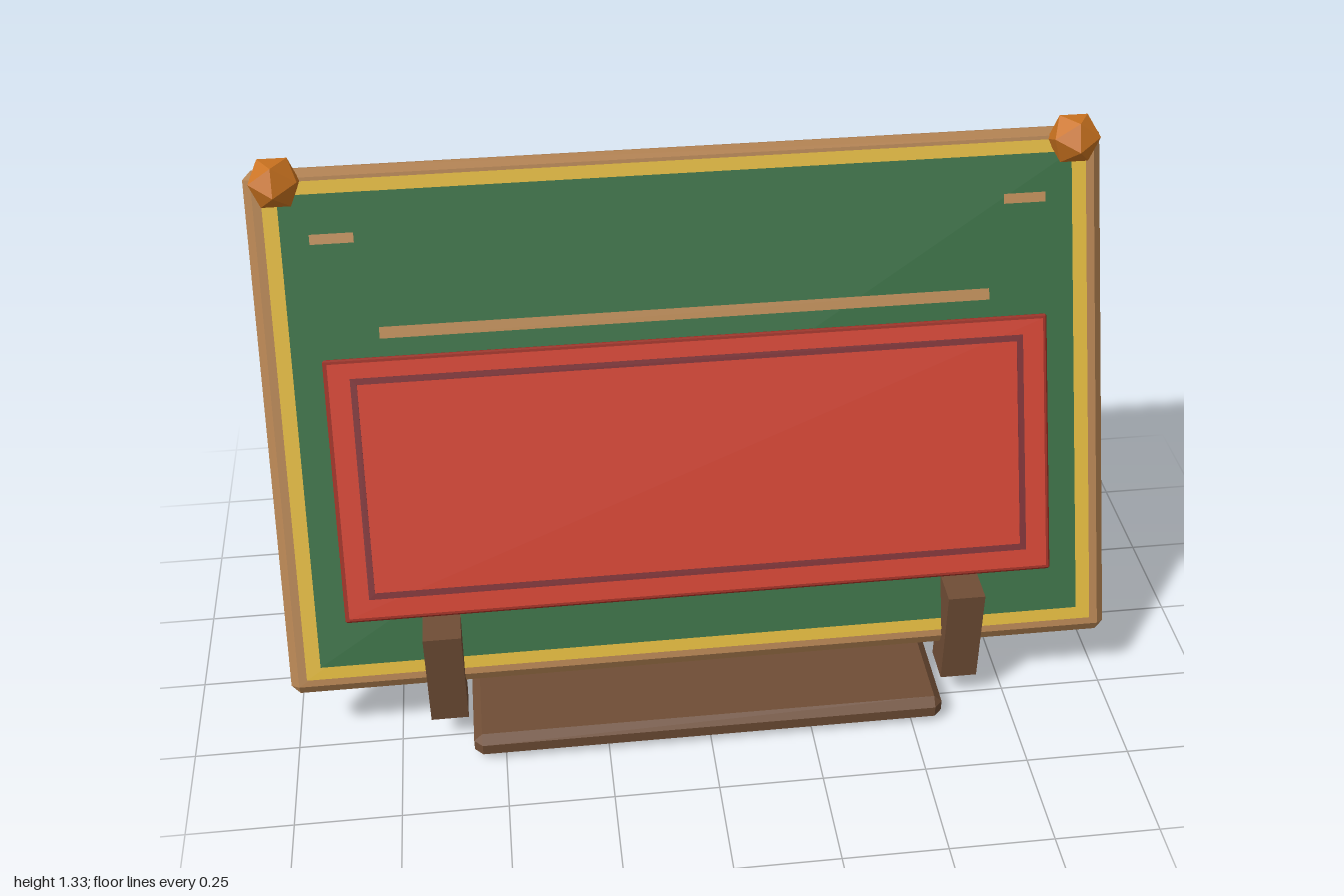
import * as THREE from 'three';
import { ConvexGeometry } from 'three/addons/geometries/ConvexGeometry.js';

const mat = (name, color) => {
  const m = new THREE.MeshStandardMaterial({ color, flatShading: true });
  m.name = name;
  return m;
};

// Box with all edges and corners cut flat
function chamferBox(w, h, d, c) {
  const pts = [];
  for (const x of [-1, 1]) for (const y of [-1, 1]) for (const z of [-1, 1]) {
    for (let a = 0; a < 3; a++) {
      const k = [c, c, c];
      k[a] = 0;
      pts.push(new THREE.Vector3(x * (w / 2 - k[0]), y * (h / 2 - k[1]), z * (d / 2 - k[2])));
    }
  }
  return new ConvexGeometry(pts);
}

// Flat rectangular ring facing +z
function ring(w, h, t, depth) {
  const s = new THREE.Shape();
  const rect = (p, x, y) => p.moveTo(-x, -y).lineTo(x, -y).lineTo(x, y).lineTo(-x, y).closePath();
  rect(s, w / 2, h / 2);
  const hole = new THREE.Path();
  rect(hole, w / 2 - t, h / 2 - t);
  s.holes.push(hole);
  return new THREE.ExtrudeGeometry(s, { depth, bevelEnabled: false });
}

export function createModel() {
  const model = new THREE.Group();
  model.name = 'easelBoard';

  const darkWood = mat('dark wood', 0x6f4d35);
  const paleWood = mat('pale wood', 0xb08050);
  const green = mat('board green', 0x386d43);
  const yellow = mat('trim yellow', 0xdcb53c);
  const tan = mat('chalk tan', 0xba8a56);
  const red = mat('panel red', 0xcd4231);
  const maroon = mat('panel edge red', 0x9a2e22);
  const plum = mat('panel line plum', 0x7d3236);
  const orange = mat('knob orange', 0xc9721f);

  const add = (parent, name, geo, material, x, y, z) => {
    const m = new THREE.Mesh(geo, material);
    m.name = name;
    m.position.set(x, y, z);
    parent.add(m);
    return m;
  };
  const box = (w, h, d) => new THREE.BoxGeometry(w, h, d);

  // Stand
  add(model, 'base', chamferBox(1.15, 0.068, 0.55, 0.02), darkWood, 0, 0.034, 0.07);
  add(model, 'backPost', box(0.09, 0.775, 0.09), darkWood, 0, 0.453, -0.1425).rotation.x = 0.03;
  for (const s of [-1, 1]) {
    add(model, s > 0 ? 'leftFrontPost' : 'rightFrontPost', box(0.09, 0.257, 0.092), darkWood, s * 0.63, 0.1975, 0.217);
  }

  // Tilted board; everything below is laid out on its face
  const board = new THREE.Group();
  board.name = 'board';
  board.position.set(0, 0.713, -0.053);
  board.rotation.x = -THREE.MathUtils.degToRad(25);
  model.add(board);
  const face = 0.0325;
  add(board, 'frame', chamferBox(2, 1.245, face * 2, 0.02), paleWood, 0, 0, 0);
  add(board, 'yellowTrim', box(1.92, 1.18, 0.004), yellow, 0, 0.004, face);
  add(board, 'greenSurface', box(1.85, 1.12, 0.004), green, 0, 0.004, face + 0.002);

  // Chalk strips
  add(board, 'longStrip', box(1.44, 0.027, 0.004), tan, 0, 0.238, face + 0.004);
  for (const s of [-1, 1]) {
    add(board, s > 0 ? 'leftStrip' : 'rightStrip', box(0.1, 0.023, 0.004), tan, s * 0.81, 0.461, face + 0.004);
  }

  // Raised red panel with an inset line
  const panel = new THREE.Group();
  panel.name = 'panel';
  panel.position.set(0, -0.131, 0.05);
  board.add(panel);
  add(panel, 'panelEdge', chamferBox(1.71, 0.63, 0.012, 0.004), maroon, 0, 0, 0);
  add(panel, 'panelFace', box(1.69, 0.61, 0.003), red, 0, 0, 0.006);
  add(panel, 'panelLine', ring(1.59, 0.53, 0.015, 0.002), plum, 0, 0.004, 0.0072);

  // Faceted corner knobs
  for (const s of [-1, 1]) {
    add(board, s > 0 ? 'leftKnob' : 'rightKnob', new THREE.IcosahedronGeometry(0.064), orange, s * 0.925, 0.595, 0.055);
  }
  return model;
}
